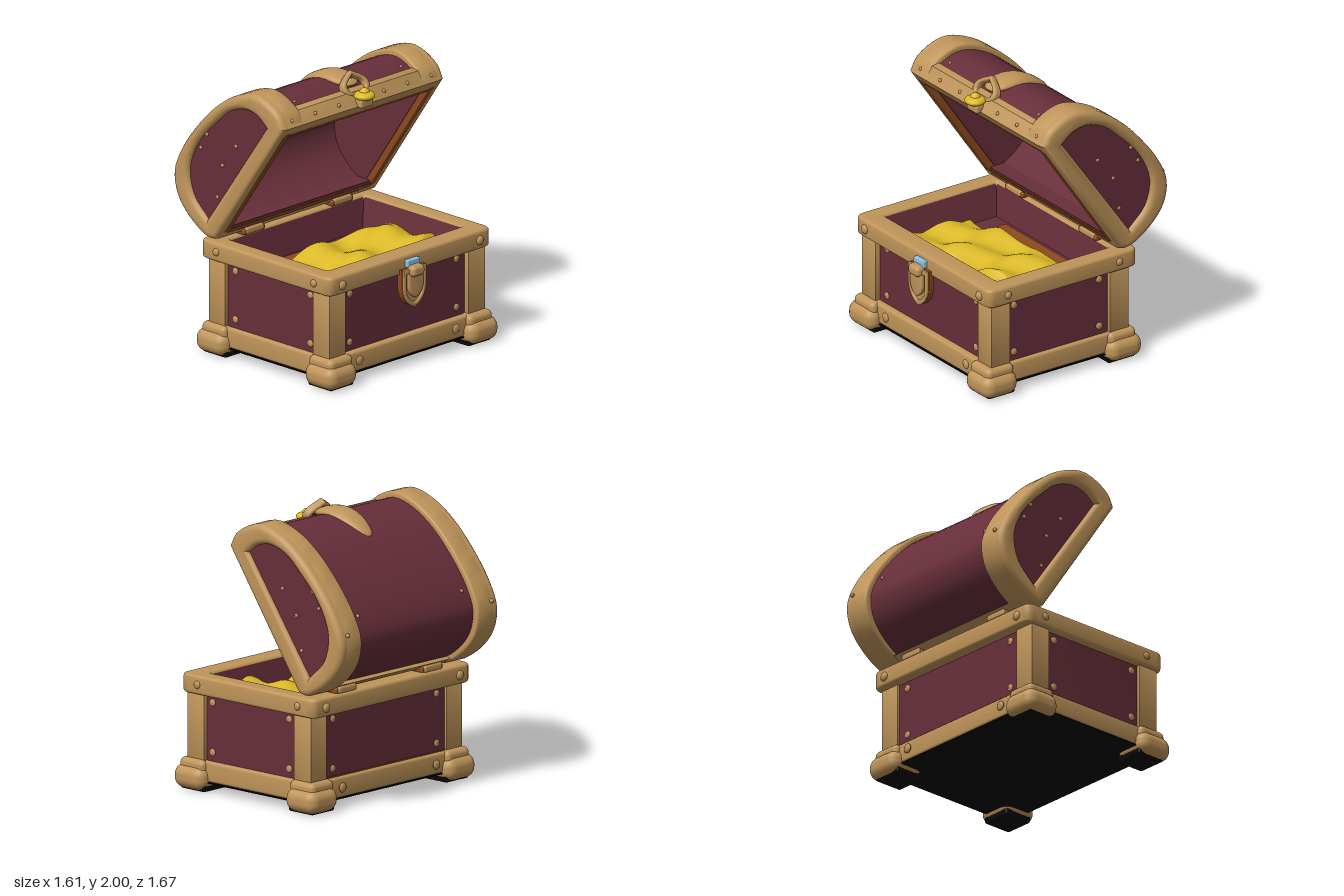
import * as THREE from 'three';
import { toCreasedNormals } from 'three/addons/utils/BufferGeometryUtils.js';
import { RoundedBoxGeometry } from 'three/addons/geometries/RoundedBoxGeometry.js';

const mat = (name, color, side = THREE.FrontSide) => {
  const m = new THREE.MeshStandardMaterial({ color, side });
  m.name = name;
  return m;
};

export function createModel() {
  const wood = mat('tan wood', 0xc0955a);
  const red = mat('dark red', 0x672e3a, THREE.DoubleSide);
  const gold = mat('gold', 0xdcb926, THREE.DoubleSide);
  const brown = mat('orange brown', 0x8f4a1e);
  const blue = mat('light blue', 0x8cc2e6);
  const black = mat('black', 0x050505);

  const chest = new THREE.Group();
  chest.name = 'treasureChest';
  const base = new THREE.Group(), lid = new THREE.Group();
  base.name = 'base';
  lid.name = 'lid';
  chest.add(base, lid);

  const add = (parent, name, geo, material, x = 0, y = 0, z = 0) => {
    const m = new THREE.Mesh(geo, material);
    m.name = name;
    m.position.set(x, y, z);
    parent.add(m);
    return m;
  };
  const rbox = (w, h, d, r) => new RoundedBoxGeometry(w, h, d, 3, r);
  const shapeOf = pts => new THREE.Shape(pts.map(p => new THREE.Vector2(p[0], p[1])));

  // extrusion from z0 to z1 with rounded edges kept inside the outline
  const extrude = (shape, z0, z1, bevel = 0) => {
    const g = new THREE.ExtrudeGeometry(shape, {
      depth: z1 - z0 - 2 * bevel, curveSegments: 10, bevelEnabled: bevel > 0,
      bevelSize: bevel, bevelThickness: bevel, bevelOffset: -bevel, bevelSegments: 4,
    });
    g.translate(0, 0, z0 + bevel);
    return toCreasedNormals(g, 0.7);
  };
  const upright = g => g.rotateX(-Math.PI / 2);
  const facing = g => g.rotateY(Math.PI / 2);
  const stud = (parent, x, y, z, r, sx = 1, sy = 1, sz = 1) =>
    add(parent, 'stud', new THREE.SphereGeometry(r, 10, 8), wood, x, y, z).scale.set(sx, sy, sz);

  // ---------- base ----------
  const cx = 0.085;
  const rect = (w, d, r, Type = THREE.Shape) => {
    const s = new Type(), a = w / 2, b = d / 2;
    s.moveTo(-a + r, -b);
    s.lineTo(a - r, -b); s.quadraticCurveTo(a, -b, a, -b + r);
    s.lineTo(a, b - r); s.quadraticCurveTo(a, b, a - r, b);
    s.lineTo(-a + r, b); s.quadraticCurveTo(-a, b, -a, b - r);
    s.lineTo(-a, -b + r); s.quadraticCurveTo(-a, -b, -a + r, -b);
    return s;
  };
  const frame = (outer, inner, y0, y1, bevel) => {
    const s = rect(...outer);
    if (inner) s.holes.push(rect(...inner, THREE.Path));
    return upright(extrude(s, y0, y1, bevel));
  };
  add(base, 'walls', frame([1.1, 1.46, 0.02], [0.95, 1.33, 0.02], 0.08, 0.79, 0), red, cx);
  // inner walls lean inwards towards the floor
  const lining = new THREE.CylinderGeometry(Math.SQRT1_2, 0.91 * Math.SQRT1_2, 0.24, 4, 1, true).rotateY(Math.PI / 4);
  add(base, 'innerWalls', toCreasedNormals(lining, 0.3), red, cx, 0.68).scale.set(0.945, 1, 1.315);
  add(base, 'rim', frame([1.26, 1.58, 0.07], [0.945, 1.315, 0.02], 0.68, 0.815, 0.02), wood, cx);
  add(base, 'bottomTrim', frame([1.18, 1.52, 0.05], null, 0.07, 0.217, 0.02), wood, cx + 0.008);
  add(base, 'backTrimEdge', new THREE.BoxGeometry(0.012, 0.01, 1.22), brown, -0.467, 0.221);
  add(base, 'underside', new THREE.BoxGeometry(1.18, 0.008, 1.52), black, cx + 0.008, 0.066);
  add(base, 'innerFloor', new THREE.BoxGeometry(0.95, 0.02, 1.33), red, cx, 0.57);
  add(base, 'floorPatch', new THREE.BoxGeometry(0.32, 0.008, 0.75), brown, -0.16, 0.584, 0.08);

  for (const sx of [-1, 1]) for (const sz of [-1, 1]) {
    const px = 0.0955 + sx * 0.58, pz = sz * 0.758;
    const L = [[0, 0], [0.157, 0], [0.157, 0.07], [0.07, 0.07], [0.07, 0.157], [0, 0.157]].map(([a, b]) => [-sx * a, sz * b]);
    add(base, 'cornerPost', upright(extrude(shapeOf(L), 0.19, 0.72, 0.018)), wood, px, 0, pz);
    const fx = 0.098 + sx * 0.525, fz = sz * 0.69;
    add(base, 'foot', rbox(0.285, 0.17, 0.287, 0.075), wood, fx, 0.09, fz);
    add(base, 'footCap', rbox(0.23, 0.1, 0.23, 0.04), wood, fx - sx * 0.01, 0.172, fz - sz * 0.01);
    add(base, 'sole', rbox(0.225, 0.05, 0.225, 0.014), black, fx - sx * 0.018, 0.025, fz - sz * 0.018);
    // rim, trim and panel studs
    stud(base, cx + sx * 0.47, 0.75, sz * 0.79, 0.028, 1, 1, 0.6);
    stud(base, cx + sx * 0.63, 0.745, sz * 0.67, 0.034, 0.6);
    stud(base, cx + sx * 0.598, 0.145, sz * 0.47, 0.034, 0.4);
    for (const y of [0.28, 0.63]) {
      stud(base, 0.105 + sx * 0.36, y, sz * 0.73, 0.026, 1, 1, 0.4);
      stud(base, cx + sx * 0.55, y, sz * 0.52, 0.026, 0.4);
    }
  }

  // heap of gold, sinking at its edges
  const heap = upright(new THREE.PlaneGeometry(0.64, 1.22, 28, 48));
  const hp = heap.attributes.position;
  for (let i = 0; i < hp.count; i++) {
    const x = hp.getX(i), z = hp.getZ(i);
    const edge = Math.min(1, (0.32 - Math.abs(x)) / 0.07, (0.61 - Math.abs(z)) / 0.07);
    const bumps = 0.03 * Math.sin(z * 13 + 2 * x) + 0.022 * Math.sin(x * 17 - z * 7);
    hp.setX(i, x + 0.02 * Math.sin(z * 14));
    hp.setY(i, 0.575 + (0.125 - 0.07 * z + bumps) * Math.sqrt(Math.max(0, edge)));
  }
  heap.computeVertexNormals();
  add(base, 'goldHeap', heap, gold, 0.165);

  // lock plate on the front wall
  const lock = new THREE.Group();
  lock.name = 'lock';
  base.add(lock);
  const shield = k => {
    const s = new THREE.Shape();
    s.moveTo(-0.112 * k, 0.14 * k);
    s.lineTo(-0.112 * k, 0);
    s.quadraticCurveTo(-0.1 * k, -0.11 * k, 0, -0.145 * k);
    s.quadraticCurveTo(0.1 * k, -0.11 * k, 0.112 * k, 0);
    s.lineTo(0.112 * k, 0.14 * k);
    s.closePath();
    return s;
  };
  const ring = shield(1);
  ring.holes.push(shield(0.74));
  add(lock, 'lockPlate', facing(extrude(shield(1), 0.695, 0.738)), brown, 0, 0.58);
  add(lock, 'lockBacking', facing(extrude(shield(0.9), 0.736, 0.742)), wood, 0, 0.58);
  add(lock, 'lockRim', facing(extrude(ring, 0.735, 0.756, 0.009)), wood, 0, 0.58);
  add(lock, 'lockFace', facing(extrude(shield(0.64), 0.735, 0.77, 0.012)), wood, 0, 0.6);
  add(lock, 'lockCatch', rbox(0.085, 0.08, 0.12, 0.03), wood, 0.757, 0.705);
  add(lock, 'lockTop', rbox(0.055, 0.055, 0.12, 0.008), blue, 0.718, 0.753);

  // ---------- lid ----------
  const arcPts = [[0.26, 1.78], [0.2, 1.88], [0, 1.97], [-0.2, 1.925], [-0.4, 1.8], [-0.59, 1.61], [-0.73, 1.42],
    [-0.8, 1.25], [-0.775, 1.09], [-0.69, 0.97], [-0.55, 0.865], [-0.46, 0.83], [-0.39, 0.84]];
  const smooth = (pts, n) => new THREE.CatmullRomCurve3(pts.map(p => new THREE.Vector3(p[0], p[1], 0))).getPoints(n);
  const arcCurve = smooth(arcPts, 48);
  const mid = [-0.065, 1.31];
  const arc = f => arcCurve.map(p => [mid[0] + (p.x - mid[0]) * f, mid[1] + (p.y - mid[1]) * f]);
  const shell = (f0, f1) => shapeOf([...arc(f0), ...arc(f1).reverse()]);
  const panelPts = smooth([[0.087, 1.757], [0, 1.82], [-0.12, 1.84], [-0.27, 1.79], [-0.39, 1.69],
    [-0.57, 1.5], [-0.66, 1.29], [-0.62, 1.105], [-0.48, 0.963]], 32).map(p => new THREE.Vector2(p.x, p.y));
  const slope = 0.966;

  add(lid, 'barrel', extrude(shell(0.935, 0.86), -0.7, 0.7), red);
  for (const s of [-1, 1]) {
    const span = (a, b) => (s > 0 ? [a, b] : [-b, -a]);
    const end = shapeOf(arc(1));
    end.holes.push(new THREE.Path(panelPts));
    add(lid, 'endFrame', extrude(end, ...span(0.695, 0.795), 0.042), wood);
    add(lid, 'archBand', extrude(shell(1, 0.9), ...span(0.58, 0.75), 0.018), wood);
    // end wall, set back from the mouth of the lid
    const wall = arc(0.9).map(([x, y]) => [x - 0.041, y + 0.028]);
    add(lid, 'endPanel', extrude(shapeOf(wall), ...span(0.685, 0.76)), red);
    add(lid, 'sideLining', rbox(1.03, 0.05, 0.05, 0.008), brown, -0.084, 1.323, s * 0.705).rotation.z = slope;
    for (const [x, y] of [[-0.5, 1.57], [-0.22, 1.55], [-0.35, 1.38], [-0.4, 1.14], [-0.56, 1.46]])
      stud(lid, x, y, s * 0.76, 0.014, 1, 1, 0.6);
    stud(lid, -0.795, 1.3, s * 0.72, 0.016);
    for (const z of [0.68, 0.45, 0.22]) stud(lid, 0.235, 1.822, s * z, 0.014);
    for (const [x, y] of [[0.1, 1.885], [-0.7, 1.39]]) stud(lid, x, y, s * 0.52, 0.014);
    // hinges
    add(lid, 'hinge', rbox(0.17, 0.055, 0.18, 0.02), wood, -0.445, 0.838, s * 0.43);
    add(lid, 'hingePin', rbox(0.15, 0.045, 0.21, 0.015), brown, -0.44, 0.832, s * 0.43);
  }
  add(lid, 'frontBar', extrude(shapeOf([[0.212, 1.71], [0.262, 1.78], [0.205, 1.872], [0.155, 1.885], [0.1, 1.84], [0.13, 1.757]]),
    -0.74, 0.74, 0.01), wood);
  add(lid, 'frontBarLining', extrude(shapeOf([[0.205, 1.7], [0.222, 1.724], [0.14, 1.775], [0.11, 1.765]]), -0.69, 0.69), brown);
  add(lid, 'hingeBar', extrude(shapeOf([[-0.48, 0.905], [-0.54, 0.875], [-0.46, 0.83], [-0.39, 0.84], [-0.372, 0.875]]),
    -0.74, 0.74, 0.006), wood);
  add(lid, 'hingeBarLining', extrude(shapeOf([[-0.5, 0.915], [-0.47, 0.87], [-0.368, 0.868], [-0.342, 0.912]]), -0.69, 0.69), brown);
  add(lid, 'hingeBarTop', new THREE.BoxGeometry(0.15, 0.008, 1.37), red, -0.425, 0.918);

  // hasp: a leaf hugging the barrel, a pointed loop and a knob
  const leaf = new THREE.SphereGeometry(1, 28, 18);
  const lp = leaf.attributes.position;
  for (let i = 0; i < lp.count; i++) {
    const x = -0.085 + 0.245 * lp.getX(i);
    const y = 1.925 - 1.05 * (x - 0.01) ** 2 + 0.045 * lp.getY(i);
    lp.setXYZ(i, x, y, Math.sign(lp.getZ(i)) * Math.abs(lp.getZ(i)) ** 0.8 * 0.105 * (1 + 0.2 * lp.getX(i)));
  }
  leaf.computeVertexNormals();
  add(lid, 'haspLeaf', leaf, wood);
  const arch = (k, Type = THREE.Shape) => {
    const s = new Type();
    s.moveTo(0, 0.11 * k);
    s.bezierCurveTo(-0.06 * k, 0.07 * k, -0.125 * k, 0.05 * k, -0.125 * k, -0.01 * k);
    s.bezierCurveTo(-0.125 * k, -0.1 * k, 0.125 * k, -0.1 * k, 0.125 * k, -0.01 * k);
    s.bezierCurveTo(0.125 * k, 0.05 * k, 0.06 * k, 0.07 * k, 0, 0.11 * k);
    return s;
  };
  const loop = arch(1);
  loop.holes.push(arch(0.68, THREE.Path));
  add(lid, 'haspLoop', facing(extrude(loop, -0.03, 0.03, 0.014)), wood, 0.165, 1.895).rotation.z = 0.52;
  add(lid, 'haspLoopBack', facing(extrude(arch(0.76), -0.025, -0.017)), red, 0.165, 1.895).rotation.z = 0.52;
  add(lid, 'knobStem', rbox(0.07, 0.06, 0.12, 0.015), wood, 0.262, 1.8);
  add(lid, 'knobDisc', new THREE.SphereGeometry(0.075, 20, 12), gold, 0.265, 1.85).scale.y = 0.45;
  add(lid, 'knobBall', new THREE.SphereGeometry(0.038, 14, 10), gold, 0.265, 1.868);

  return chest;
}
